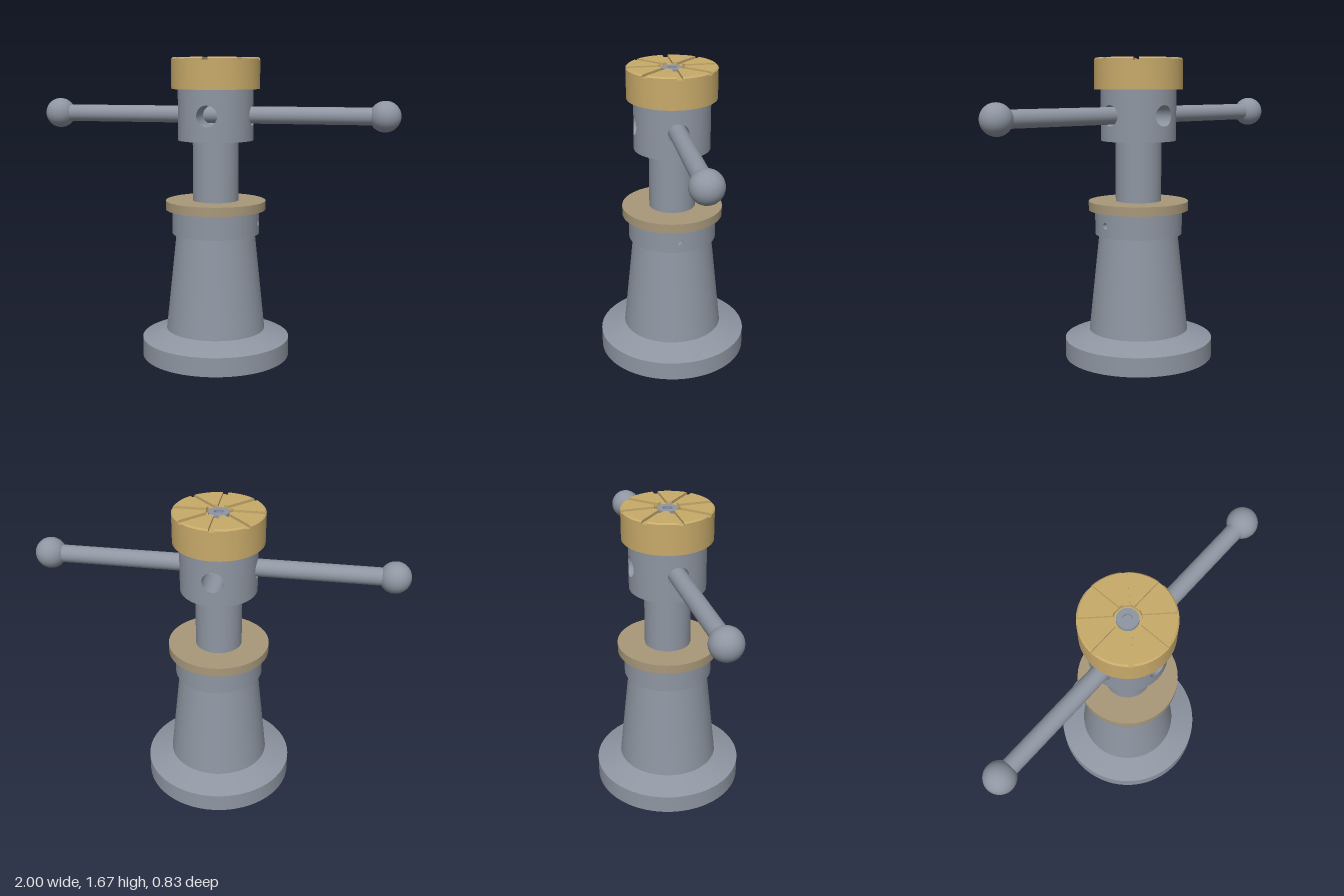
import * as THREE from 'three';
import { toCreasedNormals } from 'three/addons/utils/BufferGeometryUtils.js';

const steel = new THREE.MeshStandardMaterial({ color: 0x8f96a2 });
steel.name = 'steel';
const brass = new THREE.MeshStandardMaterial({ color: 0xc8aa6a });
brass.name = 'brass';
const bronze = new THREE.MeshStandardMaterial({ color: 0xa8987a });
bronze.name = 'bronze';

const SEG = 64;

function add(parent, name, geometry, material, x = 0, y = 0, z = 0) {
  const mesh = new THREE.Mesh(geometry, material);
  mesh.name = name;
  mesh.position.set(x, y, z);
  parent.add(mesh);
  return mesh;
}

// Sharp-edged turned part; profile runs with the solid on its left.
function turned(points) {
  const g = new THREE.LatheGeometry(points.map(([r, y]) => new THREE.Vector2(r, y)), SEG);
  return toCreasedNormals(g, 0.5);
}

// Reshape a unit plane by a rule on (u, v).
function surface(nu, nv, rule) {
  const g = new THREE.PlaneGeometry(1, 1, nu, nv);
  const { position, uv } = g.attributes;
  for (let i = 0; i < position.count; i++) {
    position.setXYZ(i, ...rule(uv.getX(i), uv.getY(i)));
  }
  g.computeVertexNormals();
  return g;
}

// Quarter of a cylinder wall facing +z, pierced by a round hole at height hy.
function piercedWall(r, y0, y1, hy, a) {
  const g = surface(4, 48, (u, v) => {
    const c = Math.cos(v * 2 * Math.PI), s = Math.sin(v * 2 * Math.PI);
    const m = Math.max(Math.abs(c), Math.abs(s));
    const edgeY = (s / m) * (s > 0 ? y1 - hy : hy - y0);
    const theta = THREE.MathUtils.lerp(Math.asin(a * c / r), (c / m) * Math.PI / 4, u);
    const y = hy + THREE.MathUtils.lerp(a * s, edgeY, u);
    return [r * Math.sin(theta), y, r * Math.cos(theta)];
  });
  const { position, normal } = g.attributes;
  for (let i = 0; i < position.count; i++) {
    normal.setXYZ(i, position.getX(i) / r, 0, position.getZ(i) / r);
  }
  return g;
}

// Bore wall along z, from an inner end to the cylinder surface.
function bore(r, hy, a, innerEnd) {
  return surface(1, 48, (u, v) => {
    const x = a * Math.cos(v * 2 * Math.PI), y = a * Math.sin(v * 2 * Math.PI);
    return [x, hy + y, THREE.MathUtils.lerp(innerEnd(x), Math.sqrt(r * r - x * x), u)];
  });
}

function buildBody() {
  const body = new THREE.Group();
  body.name = 'body';
  add(body, 'bodyShell', turned([
    [0.415, 0], [0.415, 0.105], [0.278, 0.153], [0.22, 0.7], [0.243, 0.7],
  ]), steel);
  add(body, 'bodyBore', turned([[0.13, 0.8], [0.13, 0.213], [0.31, 0]]), steel);

  // Underside ring with four blind bolt holes
  const ring = new THREE.Shape().absarc(0, 0, 0.415, 0, Math.PI * 2);
  ring.holes.push(new THREE.Path().absarc(0, 0, 0.31, 0, Math.PI * 2, true));
  for (let i = 0; i < 4; i++) {
    const t = Math.PI / 4 + i * Math.PI / 2;
    const x = 0.362 * Math.cos(t), z = 0.362 * Math.sin(t);
    ring.holes.push(new THREE.Path().absarc(x, z, 0.033, 0, Math.PI * 2, true));
    add(body, 'boltHole', turned([[0, 0.08], [0.033, 0.08], [0.033, 0]]), steel, x, 0, z);
  }
  add(body, 'underside', new THREE.ShapeGeometry(ring, 32).rotateX(Math.PI / 2), steel);

  // Collar with a set screw hole on the left side
  const r = 0.243, y0 = 0.7, y1 = 0.835, hy = 0.765, a = 0.017;
  const wall = new THREE.CylinderGeometry(r, r, y1 - y0, 48, 1, true, Math.PI * 0.75, Math.PI * 1.5);
  add(body, 'collar', wall, steel, 0, (y0 + y1) / 2);
  const side = new THREE.Group();
  side.name = 'setScrew';
  side.rotation.y = Math.PI / 2;
  body.add(side);
  add(side, 'collarWall', piercedWall(r, y0, y1, hy, a), steel);
  add(side, 'setScrewHole', bore(r, hy, a, () => 0.215), steel);
  add(side, 'setScrewEnd', new THREE.CircleGeometry(a, 24), steel, 0, hy, 0.215);
  return body;
}

function buildHead() {
  const head = new THREE.Group();
  head.name = 'head';
  const r = 0.208, hy = 1.36, a = 0.057;
  add(head, 'headBottom', new THREE.CircleGeometry(r, SEG).rotateX(Math.PI / 2), steel, 0, 1.22);
  // Crossed bores meet on a mitre at the centre
  const wall = piercedWall(r, 1.22, 1.5, hy, a);
  const tunnel = bore(r, hy, a, (x) => Math.abs(x));
  for (let i = 0; i < 4; i++) {
    add(head, 'headWall', wall, steel).rotation.y = i * Math.PI / 2;
    add(head, 'headBore', tunnel, steel).rotation.y = i * Math.PI / 2;
  }
  return head;
}

function buildCap() {
  const cap = new THREE.Group();
  cap.name = 'cap';
  const r = 0.243, inner = 0.07, half = 0.015, base = 1.655, top = 1.67;
  add(cap, 'capBase', turned([
    [0, 1.5], [r, 1.5], [r, base], [inner, base], [inner, 1.64], [0, 1.64],
  ]), brass);

  // Eight raised pads leave radial grooves between them
  const o = Math.asin(half / r), n = Math.asin(half / inner), step = Math.PI / 4;
  const pad = new THREE.Shape();
  pad.absarc(0, 0, r, o, step - o, false);
  pad.absarc(0, 0, inner, step - n, n, true);
  pad.closePath();
  let g = new THREE.ExtrudeGeometry(pad, { depth: top - base, steps: 2, bevelEnabled: false, curveSegments: 10 });
  // Chamfer the outer top edge
  const p = g.attributes.position;
  for (let i = 0; i < p.count; i++) {
    const d = Math.hypot(p.getX(i), p.getY(i));
    if (p.getZ(i) > 0.014 && d > 0.235) {
      p.setXY(i, p.getX(i) * 0.235 / d, p.getY(i) * 0.235 / d);
    }
  }
  g = toCreasedNormals(g.rotateX(-Math.PI / 2), 0.5);
  for (let i = 0; i < 8; i++) add(cap, 'capPad', g, brass, 0, base).rotation.y = i * step;

  // Centre bolt with a socket
  add(cap, 'capBolt', turned([
    [0.055, 1.64], [0.055, 1.662], [0.025, 1.662], [0.025, 1.646], [0, 1.646],
  ]), steel);
  return cap;
}

function buildHandle() {
  const handle = new THREE.Group();
  handle.name = 'handle';
  handle.position.y = 1.36;
  add(handle, 'handleBar', new THREE.CylinderGeometry(0.047, 0.047, 1.8, 40).rotateZ(Math.PI / 2), steel);
  for (const s of [-1, 1]) {
    add(handle, 'handleKnob', new THREE.SphereGeometry(0.083, 40, 24), steel, s * 0.917);
  }
  return handle;
}

export function createModel() {
  const model = new THREE.Group();
  model.name = 'screwJack';
  model.add(buildBody(), buildHead(), buildCap(), buildHandle());
  add(model, 'nutFlange', new THREE.CylinderGeometry(0.278, 0.278, 0.05, SEG), bronze, 0, 0.86);
  add(model, 'screw', new THREE.CylinderGeometry(0.127, 0.127, 0.77, SEG), steel, 0, 0.835);
  return model;
}
